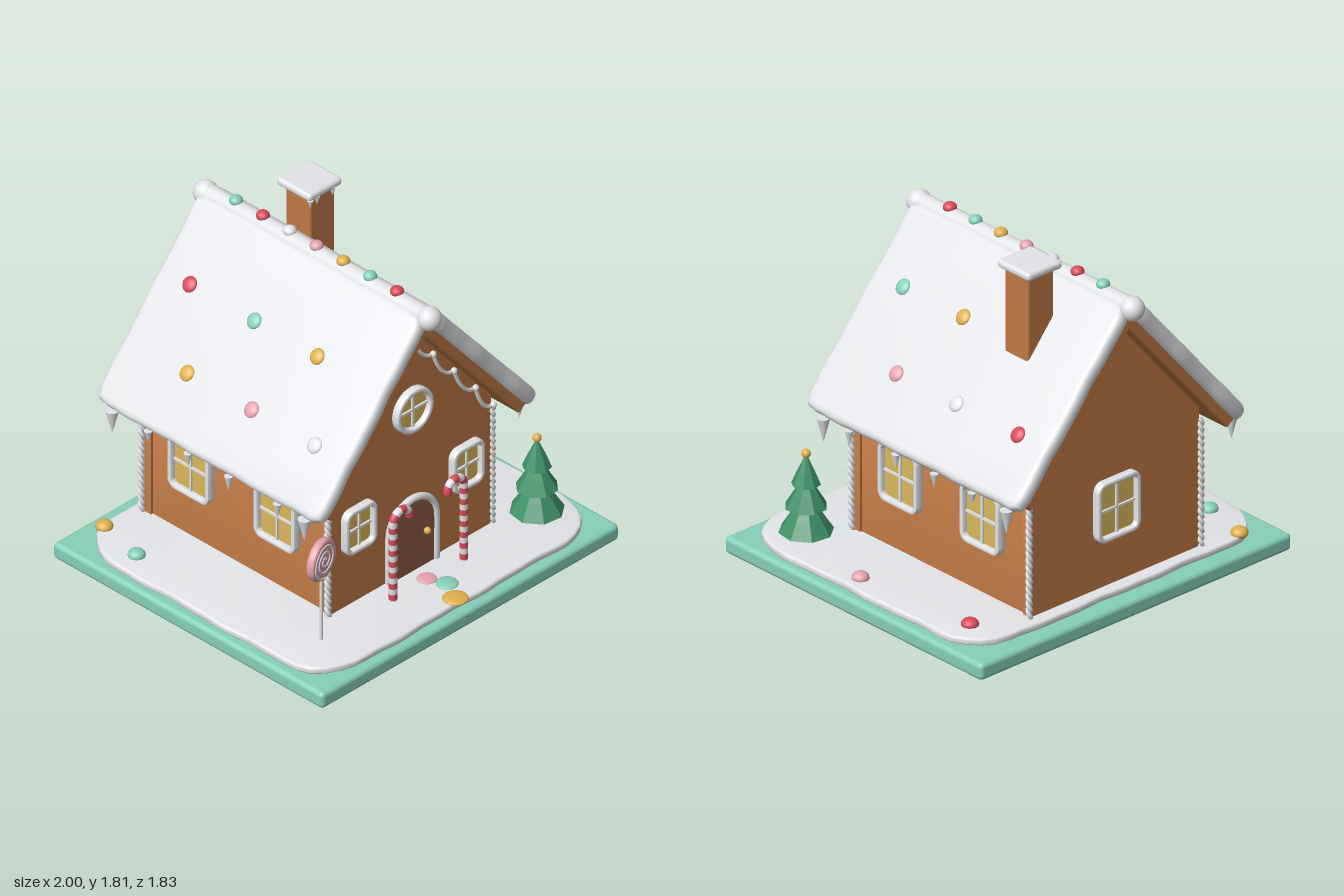
import * as THREE from 'three';
import { toCreasedNormals } from 'three/addons/utils/BufferGeometryUtils.js';
import { RoundedBoxGeometry } from 'three/addons/geometries/RoundedBoxGeometry.js';

const mat = (name, color) => Object.assign(new THREE.MeshStandardMaterial({ color }), { name });
const M = {
  snow: mat('icing white', 0xeff1f4), ginger: mat('gingerbread', 0xbf7a45), door: mat('chocolate', 0x8f5a45),
  teal: mat('mint', 0x86d0b9), red: mat('red candy', 0xd94a5c), pink: mat('pink candy', 0xe5a3af),
  gold: mat('gold candy', 0xe0b04e), glass: mat('window yellow', 0xdcb85c), green: mat('tree green', 0x3f9066),
};
const V = (x, y, z) => new THREE.Vector3(x, y, z);
const SLOPE = 50 * Math.PI / 180, APEX = 1.51, HOUSE_Z = -0.11;

function add(parent, name, geo, material, x = 0, y = 0, z = 0) {
  const m = new THREE.Mesh(geo, material);
  m.name = name;
  m.position.set(x, y, z);
  parent.add(m);
  return m;
}

function roundedRect(w, h, r, Type = THREE.Shape) {
  const s = new Type(), x = w / 2 - r, y = h / 2 - r, q = Math.PI / 2;
  s.absarc(x, y, r, 0, q).absarc(-x, y, r, q, 2 * q).absarc(-x, -y, r, 2 * q, 3 * q).absarc(x, -y, r, 3 * q, 4 * q);
  s.closePath();
  return s;
}

// Extrusion whose total size matches the shape and depth, with softened edges
function slab(shape, depth, bevel, steps = 3) {
  const g = new THREE.ExtrudeGeometry(shape, {
    depth: depth - 2 * bevel, bevelEnabled: bevel > 0, bevelSize: bevel, bevelThickness: bevel,
    bevelOffset: -bevel, bevelSegments: steps, curveSegments: 10,
  });
  g.translate(0, 0, bevel);
  return toCreasedNormals(g, 0.7);
}

// Flat layer of icing with a wavy outline, lying in the xz plane
function icingLayer(w, d, r, thick, bevel, amp) {
  const pts = roundedRect(w, d, r).getSpacedPoints(90).slice(0, -1).map((p, i) => {
    const k = 1 + amp * (Math.sin(i * 0.84) + 0.6 * Math.sin(i * 1.75 + 1));
    return new THREE.Vector2(p.x * k, p.y * k);
  });
  return slab(new THREE.Shape(pts), thick, bevel).rotateX(-Math.PI / 2);
}

function tube(points, r, n = 24, sides = 8) {
  return new THREE.TubeGeometry(new THREE.CatmullRomCurve3(points), n, r, sides);
}

function candy(parent, name, material, x, y, z, r, flat = 0.65) {
  const m = add(parent, name, new THREE.SphereGeometry(r, 16, 10), material, x, y, z);
  m.scale.y = flat;
  return m;
}

function icicle(parent, x, y, z, r, len) {
  add(parent, 'icicle', new THREE.ConeGeometry(r, len, 10).rotateX(Math.PI), M.snow, x, y - len / 2, z);
}

function makeWindow(parent, w, h, round, x, y, z, turn) {
  const g = new THREE.Group();
  g.name = 'window';
  g.position.set(x, y, z);
  g.rotation.y = turn;
  parent.add(g);
  const t = 0.026, r = round ? w / 2 : 0.05;
  const frame = roundedRect(w, h, r);
  frame.holes.push(roundedRect(w - 2 * t, h - 2 * t, r - t, THREE.Path));
  add(g, 'windowFrame', slab(frame, 0.05, 0.01, 2), M.snow, 0, 0, -0.01);
  add(g, 'windowPane', slab(roundedRect(w - 0.02, h - 0.02, r - 0.01), 0.008, 0), M.glass, 0, 0, 0.002);
  add(g, 'windowBar', new THREE.BoxGeometry(0.012, h - 0.03, 0.014), M.snow, 0, 0, 0.013);
  add(g, 'windowBar', new THREE.BoxGeometry(w - 0.03, 0.012, 0.014), M.snow, 0, 0, 0.013);
}

// Gable-ended slice of the house
function gable(w, depth) {
  const eave = APEX - Math.tan(SLOPE) * w + 0.01;
  return slab(new THREE.Shape([[-w, 0.1], [w, 0.1], [w, eave], [0, APEX + 0.01], [-w, eave]]
    .map(p => new THREE.Vector2(...p))), depth, 0);
}

function candyCane(parent, side) {
  const path = new THREE.CurvePath(), R = 0.055, top = 0.56;
  path.add(new THREE.LineCurve3(V(0, 0.1, 0), V(0, top, 0)));
  const arc = [];
  for (let i = 0; i <= 10; i++) {
    const a = Math.PI * (1 - i / 10);
    arc.push(V(-side * (R + R * Math.cos(a)), top + R * Math.sin(a), 0));
  }
  path.add(new THREE.CatmullRomCurve3(arc));
  const n = 60, sides = 10, geo = new THREE.TubeGeometry(path, n, 0.021, sides);
  for (let i = 0; i < n; i += 3) geo.addGroup(i * sides * 6, 3 * sides * 6, (i / 3) % 2);
  add(parent, 'candyCane', geo, [M.snow, M.red], side * 0.238, 0, 0.63);
  add(parent, 'candyCaneTip', new THREE.SphereGeometry(0.021, 10, 8), M.red, side * (0.238 - 2 * R), top, 0.63);
}

function makeTree(parent) {
  const g = new THREE.Group();
  g.name = 'tree';
  g.position.set(0.75, 0, 0.61);
  parent.add(g);
  add(g, 'treeTrunk', new THREE.CylinderGeometry(0.025, 0.03, 0.12, 8), M.door, 0, 0.16, 0);
  [[0.135, 0.15, 0.35], [0.105, 0.28, 0.45], [0.072, 0.4, 0.56]].forEach(([r, y0, y1], i) => {
    const h = y1 - y0;
    const prof = [[0, y0 + 0.04], [r * 0.9, y0 + 0.012], [r, y0], [r * 0.62, y0 + h * 0.4], [0, y1]];
    const geo = new THREE.LatheGeometry(prof.map(p => new THREE.Vector2(...p)), 8).toNonIndexed();
    geo.computeVertexNormals();
    add(g, 'treeTier', geo, M.green).rotation.y = 0.25 + i * 0.2;
  });
  add(g, 'treeTopper', new THREE.SphereGeometry(0.023, 12, 8), M.gold, 0, 0.56, 0);
}

function makeLollipop(parent) {
  const g = new THREE.Group();
  g.name = 'lollipop';
  g.position.set(-0.71, 0.585, 0.62);
  g.rotation.y = 0.25;
  parent.add(g);
  add(g, 'lollipopStick', new THREE.CylinderGeometry(0.008, 0.008, 0.42, 8), M.snow, 0, -0.28, 0);
  add(g, 'lollipopDisc', slab(roundedRect(0.22, 0.22, 0.11), 0.044, 0.014), M.pink, 0, 0, -0.022);
  const pts = [];
  for (let i = 0; i <= 50; i++) {
    const a = i / 50 * 5.5 * Math.PI, r = 0.008 + 0.088 * i / 50;
    pts.push(V(r * Math.cos(a), r * Math.sin(a), 0.021));
  }
  add(g, 'lollipopSwirl', tube(pts, 0.006, 120, 6), M.snow);
}

export function createModel() {
  const root = new THREE.Group();
  root.name = 'gingerbreadHouse';

  // Base board and snowy ground
  add(root, 'baseBoard', new RoundedBoxGeometry(2, 0.09, 1.8, 3, 0.025), M.teal, 0, 0.045, 0.015);
  add(root, 'groundSnow', icingLayer(1.9, 1.66, 0.26, 0.04, 0.012, 0.006), M.snow, 0, 0.085, 0.035);

  // Walls
  add(root, 'houseBody', gable(0.53, 1.16), M.ginger, 0, 0, HOUSE_Z - 0.58);
  add(root, 'frontWall', gable(0.542, 0.05), M.ginger, 0, 0, 0.46);
  add(root, 'backWall', gable(0.542, 0.05), M.ginger, 0, 0, -0.73);

  // Roof panels with icing on top
  for (const s of [1, -1]) {
    const half = new THREE.Group(), tilt = new THREE.Group();
    half.name = s > 0 ? 'leftRoof' : 'rightRoof';
    half.position.set(0, APEX, HOUSE_Z);
    half.rotation.y = s > 0 ? 0 : Math.PI;
    tilt.rotation.z = -SLOPE;
    half.add(tilt);
    root.add(half);
    add(tilt, 'roofPanel', new RoundedBoxGeometry(1.02, 0.062, 1.45, 2, 0.012), M.ginger, 0.47, 0.031, 0);
    add(tilt, 'roofSnow', icingLayer(1.11, 1.5, 0.06, 0.085, 0.032, 0.004), M.snow, 0.465, 0.052, 0);
  }

  // Ridge roll and its candies
  add(root, 'ridgeSnow', new THREE.CapsuleGeometry(0.054, 1.5, 8, 16).rotateX(Math.PI / 2), M.snow, 0, 1.628, HOUSE_Z);
  for (const z of [0.635, -0.853]) add(root, 'ridgeEnd', new THREE.SphereGeometry(0.062, 18, 12), M.snow, 0, 1.63, z);
  ['teal', 'red', 'snow', 'pink', 'gold', 'teal', 'red'].forEach((c, i) =>
    candy(root, 'ridgeCandy', M[c], 0, 1.682, -0.65 + i * 0.1785, 0.034, 0.8));

  // Roof candies: colour, x, z
  [['red', 0.545, -0.65], ['snow', 0.545, -0.22], ['pink', 0.545, 0.2], ['gold', 0.3, 0], ['teal', 0.3, 0.42],
    ['red', -0.31, -0.65], ['teal', -0.31, -0.22], ['gold', -0.31, 0.2],
    ['gold', -0.55, -0.43], ['pink', -0.55, 0], ['snow', -0.55, 0.42]].forEach(([c, x, z]) => {
    candy(root, 'roofCandy', M[c], x, 1.72 - Math.tan(SLOPE) * Math.abs(x), z, 0.042, 0.5)
      .rotation.z = -Math.sign(x) * SLOPE;
  });

  // Icicles along the eaves
  for (const s of [1, -1]) {
    [[0.52, 0.034, 0.13], [0.34, 0.022, 0.085], [0.015, 0.022, 0.085], [-0.255, 0.022, 0.075],
      [-0.52, 0.022, 0.065], [-0.76, 0.034, 0.13]].forEach(([z, r, l]) => icicle(root, s * 0.722, 0.775, z, r, l));
  }

  // Chimney with snow cap
  add(root, 'chimney', new RoundedBoxGeometry(0.166, 0.68, 0.166, 2, 0.012), M.ginger, 0.252, 1.44, -0.407);
  add(root, 'chimneySnow', new RoundedBoxGeometry(0.225, 0.045, 0.225, 4, 0.02), M.snow, 0.25, 1.787, -0.41);
  for (const x of [0.2, 0.305]) icicle(root, x, 1.775, -0.31, 0.016, 0.05);
  icicle(root, 0.15, 1.775, -0.305, 0.016, 0.045);

  // Twisted icing on the four corners
  for (const x of [-0.551, 0.551]) for (const z of [0.508, -0.733]) for (const phase of [0, Math.PI]) {
    const pts = [];
    for (let i = 0; i <= 72; i++) {
      const a = i * Math.PI / 4 + phase;
      pts.push(V(0.008 * Math.cos(a), 0.12 + 0.69 * i / 72, 0.008 * Math.sin(a)));
    }
    add(root, 'cornerIcing', tube(pts, 0.011, 144, 6), M.snow, x, 0, z);
  }

  // Scalloped garland on the front gable
  const knots = [[0, 1.475], [0.145, 1.295], [0.285, 1.13], [0.43, 0.96], [0.55, 0.805]];
  for (const s of [1, -1]) knots.forEach(([x, y], i) => {
    if (s > 0 || i) add(root, 'garlandBead', new THREE.SphereGeometry(0.018, 12, 8), M.snow, s * x, y, 0.517);
    if (!i) return;
    const [px, py] = knots[i - 1];
    const curve = new THREE.QuadraticBezierCurve3(V(s * px, py, 0.517),
      V(s * ((x + px) / 2 - 0.015), (y + py) / 2 - 0.09, 0.517), V(s * x, y, 0.517));
    add(root, 'garland', new THREE.TubeGeometry(curve, 14, 0.01, 8), M.snow);
  });

  // Windows on every wall
  makeWindow(root, 0.245, 0.245, true, 0, 1.052, 0.511, 0);
  for (const s of [1, -1]) {
    makeWindow(root, 0.21, 0.25, false, s * 0.361, 0.553, 0.511, 0);
    for (const z of [0.168, -0.405]) makeWindow(root, 0.275, 0.32, false, s * 0.536, 0.535, z, s * Math.PI / 2);
  }
  makeWindow(root, 0.275, 0.32, false, 0, 0.535, -0.731, Math.PI);

  // Arched door
  const arch = new THREE.Shape();
  arch.moveTo(-0.155, 0.1).lineTo(0.155, 0.1).lineTo(0.155, 0.38).absarc(0, 0.38, 0.155, 0, Math.PI);
  add(root, 'door', slab(arch, 0.03, 0), M.door, 0, 0, 0.5);
  const rim = [V(-0.157, 0.12, 0), V(-0.157, 0.25, 0)];
  for (let i = 0; i <= 12; i++) {
    const a = Math.PI * (1 - i / 12);
    rim.push(V(0.157 * Math.cos(a), 0.38 + 0.157 * Math.sin(a), 0));
  }
  rim.push(V(0.157, 0.25, 0), V(0.157, 0.12, 0));
  add(root, 'doorFrame', tube(rim, 0.019, 60, 8), M.snow, 0, 0, 0.525);
  add(root, 'doorKnob', new THREE.SphereGeometry(0.019, 12, 8), M.gold, 0.085, 0.32, 0.54);

  // Garden
  candyCane(root, 1);
  candyCane(root, -1);
  makeTree(root);
  makeLollipop(root);
  [['teal', -0.83, -0.49], ['red', 0.8, -0.59], ['pink', 0.86, 0.11], ['gold', -0.77, -0.765]].forEach(([c, x, z]) =>
    candy(root, 'groundCandy', M[c], x, 0.13, z, 0.044, 0.7));
  [['gold', -0.02, 0.83, 0.064], ['teal', 0.04, 0.715, 0.056], ['pink', 0, 0.62, 0.05]].forEach(([c, x, z, r]) =>
    candy(root, 'pathCandy', M[c], x, 0.125, z, r, 0.22));
  return root;
}
